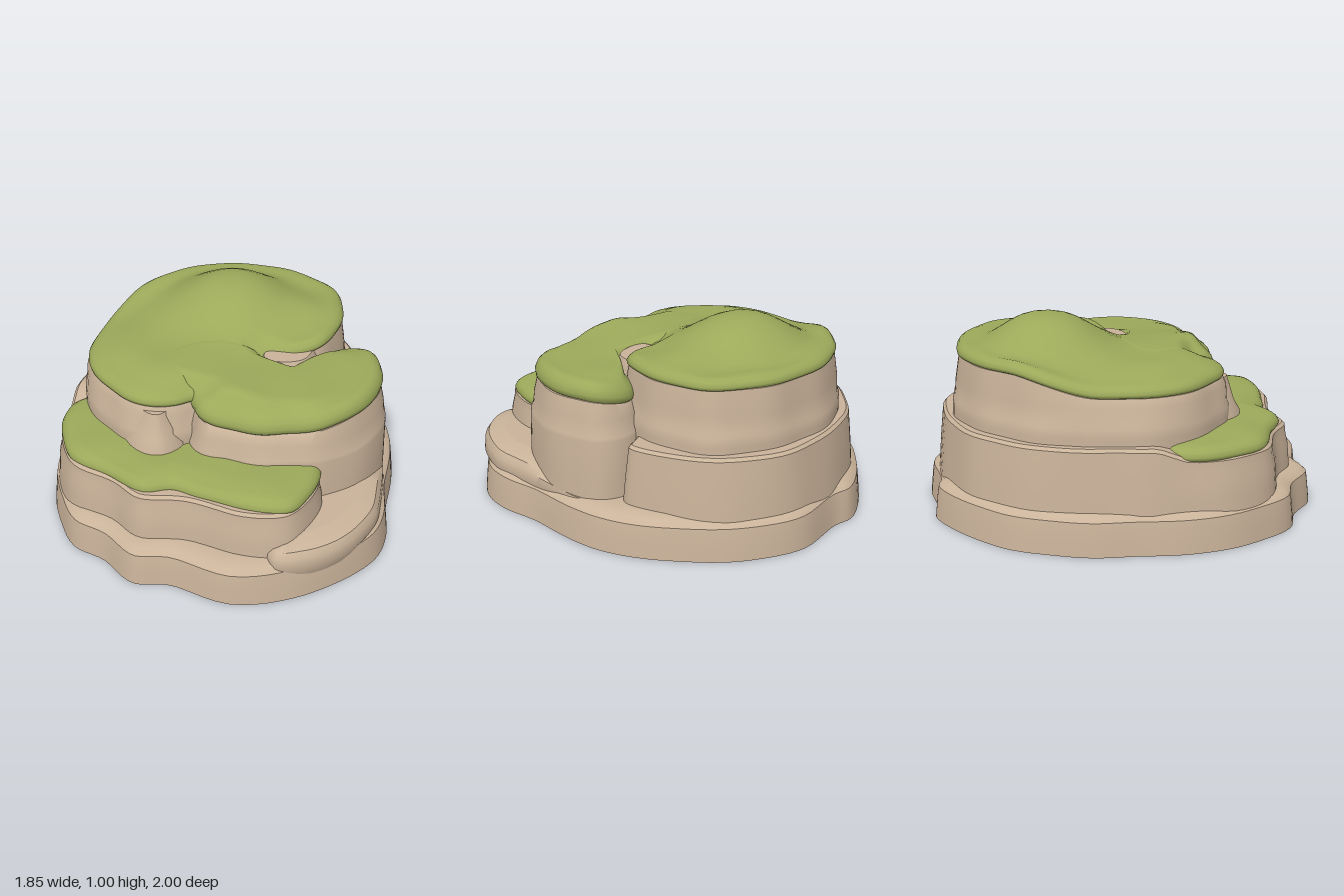
import * as THREE from 'three';
import { toCreasedNormals } from 'three/addons/utils/BufferGeometryUtils.js';

const rock = new THREE.MeshStandardMaterial({ color: 0xcab39a });
rock.name = 'sandy rock';
const grass = new THREE.MeshStandardMaterial({ color: 0x9ca95a });
grass.name = 'moss green';

const SIDES = 128;
const step = THREE.MathUtils.smoothstep;
const lerp = THREE.MathUtils.lerp;

// Closed smooth outline, clockwise from above, with outward normals
function outline(points) {
  const curve = new THREE.CatmullRomCurve3(points.map(([x, z]) => new THREE.Vector3(x, 0, z)), true);
  return Array.from({ length: SIDES }, (_, i) => {
    const p = curve.getPoint(i / SIDES);
    const t = curve.getTangent(i / SIDES);
    return { x: p.x, z: p.z, nx: t.z, nz: -t.x };
  });
}

// Skin rings from the bottom centre, up the wall, to the top centre.
// Each ring is [offset along the normal, scale about the centre, height or height(x, z)].
function loft(name, points, [cx, cz], rings, material, rough, crease) {
  const edge = outline(points);
  const pos = [];
  const idx = [];
  rings.forEach(([off, s, y], r) => {
    for (const e of edge) {
      const a = Math.atan2(e.z, e.x);
      const o = off + rough * (Math.sin(9 * a + r * 0.2) + 0.7 * Math.sin(17 * a + 2 - r * 0.1));
      const x = cx + (e.x + e.nx * o - cx) * s;
      const z = cz + (e.z + e.nz * o - cz) * s;
      pos.push(x, typeof y === 'function' ? y(x, z, s) : y, z);
    }
    if (r === 0) return;
    for (let i = 0; i < SIDES; i++) {
      const j = (i + 1) % SIDES;
      const a = (r - 1) * SIDES + i, b = (r - 1) * SIDES + j;
      const c = r * SIDES + i, d = r * SIDES + j;
      if (rings[r - 1][1] > 0) idx.push(a, c, b);
      if (s > 0) idx.push(b, c, d);
    }
  });
  const g = new THREE.BufferGeometry();
  g.setAttribute('position', new THREE.Float32BufferAttribute(pos, 3));
  g.setIndex(idx);
  const mesh = new THREE.Mesh(toCreasedNormals(g, crease), material);
  mesh.name = name;
  return mesh;
}

// Rock tier: flat underside, stepped wall of [offset, height] pairs, closed top
function rockTier(name, points, centre, wall, rough = 0.006) {
  const [topOff, top] = wall[wall.length - 1];
  const rings = [[wall[0][0], 0, wall[0][1]], ...wall.map(([o, y]) => [o, 1, y])];
  for (const s of [0.93, 0.8, 0.5, 0]) rings.push([topOff, s, top]);
  return loft(name, points, centre, rings, rock, rough, 0.6);
}

// Grass cap: rounded overhanging lip, then a surface that follows height(x, z)
function grassCap(name, points, centre, rim, thick, height) {
  const up = (k) => (x, z) => rim(x, z) + thick * k;
  const surface = (x, z, s) =>
    lerp(rim(x, z) + thick, height(x, z), step(1 - s, -0.02, 0.28))
    + 0.004 * Math.sin(13 * x + 3) * Math.sin(11 * z);
  const rings = [
    [-0.05, 0, up(0.1)], [-0.05, 1, up(0.1)], [-0.012, 1, up(0)], [0.006, 1, up(0.15)],
    [0.01, 1, up(0.4)], [-0.002, 1, up(0.7)], [-0.022, 1, up(0.92)],
  ];
  for (const s of [0.97, 0.92, 0.86, 0.79, 0.71, 0.62, 0.53, 0.44, 0.35, 0.26, 0.17, 0.08, 0]) {
    rings.push([-0.03, s, surface]);
  }
  return loft(name, points, centre, rings, grass, 0.003, 1.2);
}

export function createModel() {
  const model = new THREE.Group();
  model.name = 'grassyRockMound';

  // Broad foot of the rock
  const foot = [[0, -1], [0.25, -0.94], [0.48, -0.8], [0.68, -0.59], [0.78, -0.43], [0.85, -0.2], [0.87, 0.05],
    [0.92, 0.25], [0.92, 0.42], [0.88, 0.53], [0.77, 0.68], [0.59, 0.86], [0.32, 0.995], [0, 0.96],
    [-0.18, 1.005], [-0.38, 0.9], [-0.56, 0.85], [-0.71, 0.7], [-0.81, 0.55], [-0.88, 0.35], [-0.9, 0.1],
    [-0.92, -0.12], [-0.88, -0.33], [-0.79, -0.56], [-0.61, -0.77], [-0.4, -0.92], [-0.27, -0.925]];
  model.add(rockTier('footRock', foot, [0, 0],
    [[0, 0], [-0.006, 0.06], [-0.014, 0.13], [-0.02, 0.165], [-0.045, 0.19], [-0.09, 0.205]], 0.002));

  // Low shelf on the front left corner, fading out towards the back
  const shelf = [[0.78, -0.22], [0.84, 0], [0.885, 0.25], [0.895, 0.42], [0.83, 0.62], [0.66, 0.82],
    [0.5, 0.88], [0.42, 0.8], [0.4, 0.5], [0.5, 0.1], [0.65, -0.2]];
  const shelfY = (k) => (x, z) => 0.2 + k * step(z, -0.25, 0.2) * (0.75 + 0.25 * step(x, 0.42, 0.65));
  model.add(rockTier('cornerShelf', shelf, [0.62, 0.35],
    [[-0.03, 0.12], [-0.008, 0.18], [-0.014, shelfY(0.04)], [-0.035, shelfY(0.07)], [-0.12, shelfY(0.1)]], 0.003));

  // Middle tier, lower in front where the grass ledge lies
  const middle = [[0, -0.945], [0.28, -0.87], [0.48, -0.72], [0.58, -0.54], [0.63, -0.38], [0.5, -0.27],
    [0.45, 0], [0.52, 0.25], [0.62, 0.42], [0.62, 0.58], [0.55, 0.78], [0.32, 0.86], [0.05, 0.83],
    [-0.18, 0.89], [-0.36, 0.81], [-0.62, 0.73], [-0.77, 0.55], [-0.84, 0.22], [-0.855, 0],
    [-0.825, -0.3], [-0.71, -0.57], [-0.56, -0.74], [-0.33, -0.865]];
  const ledgeY = (x, z) => lerp(0.5, 0.44, step(z, 0.15, 0.35));
  const below = (d) => (x, z) => ledgeY(x, z) - d;
  model.add(rockTier('middleRock', middle, [-0.1, 0],
    [[0.008, 0.15], [0, 0.24], [-0.008, 0.33], [-0.02, below(0.06)], [-0.025, below(0.015)], [-0.04, ledgeY]],
    0.004));

  // Grass ledge along the front
  const ledge = [[-0.05, 0.1], [0.3, 0.2], [0.55, 0.36], [0.59, 0.42], [0.58, 0.6], [0.53, 0.74],
    [0.33, 0.79], [0.1, 0.77], [-0.05, 0.76], [-0.18, 0.82], [-0.4, 0.75], [-0.62, 0.68], [-0.73, 0.54],
    [-0.79, 0.38], [-0.77, 0.26], [-0.6, 0.15]];
  model.add(grassCap('ledgeGrass', ledge, [-0.08, 0.4], () => 0.42, 0.07, () => 0.505));

  // Tall rear tower with the hill on top; the rim rises where the side cap joins it
  const tower = [[0, -0.82], [0.2, -0.77], [0.37, -0.67], [0.44, -0.53], [0.465, -0.33], [0.42, -0.14],
    [0.32, -0.06], [0.18, -0.015], [0.14, 0.12], [0.08, 0.3], [-0.06, 0.4], [-0.15, 0.48], [-0.27, 0.52],
    [-0.46, 0.46], [-0.66, 0.3], [-0.74, 0.05], [-0.735, -0.18], [-0.67, -0.4], [-0.5, -0.64],
    [-0.27, -0.78]];
  const hill = (x, z) => 0.83 - 0.03 * step(-x, 0.4, 0.72)
    + 0.168 * Math.exp(-((((x + 0.12) / 0.31) ** 2 + ((z + 0.36) / 0.29) ** 2) ** 1.4))
    + 0.045 * Math.exp(-(((x - 0.33) / 0.16) ** 2) - ((z + 0.4) / 0.2) ** 2);
  const towerRim = (x, z) => lerp(0.8 - 0.085 * step(z - 0.3 * x, -0.35, 0.15), hill(x, z) - 0.064,
    step(x, -0.05, 0.07) * step(z, 0, 0.08));
  model.add(rockTier('rearTower', tower, [-0.15, -0.15],
    [[0.042, 0.3], [0.038, 0.53], [0.036, 0.58], [0.026, 0.6], [0.02, 0.68],
      [0, (x, z) => towerRim(x, z) + 0.005], [-0.03, (x, z) => towerRim(x, z) + 0.02]], 0.005));
  model.add(grassCap('hillGrass', tower, [-0.15, -0.15], towerRim, 0.062, hill));

  // Bare rock showing in the notch between the two caps
  const notch = [[0.3, -0.2], [0.4, -0.14], [0.39, -0.02], [0.3, 0.05], [0.18, 0.05], [0.18, -0.12]];
  model.add(rockTier('notchRock', notch, [0.28, -0.06],
    [[0.03, 0.4], [0.01, 0.76], [-0.01, 0.8]], 0.002));

  // Side tower; its grass cap runs on into the foot of the hill
  const side = [[0.2, 0], [0.38, -0.005], [0.42, -0.16], [0.5, -0.26], [0.6, -0.28], [0.69, -0.245],
    [0.755, -0.13], [0.77, 0], [0.735, 0.19], [0.6, 0.37], [0.44, 0.43], [0.32, 0.49], [0.15, 0.5],
    [0, 0.48], [-0.085, 0.4], [-0.22, 0.33], [-0.3, 0.15], [-0.1, 0]];
  const sideRim = (x, z) => lerp(
    0.65 + 0.04 * step(x, 0.45, 0.75) + 0.03 * step(-x, -0.15, 0.1), hill(x, z) - 0.098,
    step(-x, -0.25, -0.08) * step(-z, -0.4, -0.3));
  model.add(rockTier('sideTower', side, [0.3, 0.17],
    [[0.05, 0.15], [0.045, 0.3], [0.04, 0.5], [0.037, 0.52], [0.028, 0.54], [0.022, 0.6],
      [0, (x, z) => sideRim(x, z) + 0.005], [-0.03, (x, z) => sideRim(x, z) + 0.03]], 0.005));
  model.add(grassCap('sideGrass', side, [0.3, 0.17], sideRim, 0.1,
    (x, z) => lerp(hill(x, z) + 0.003, 0.79, step(x, 0.05, 0.45))));

  // Sloping rock buttress at the front of the cliff
  const buttress = [[-0.45, 0.4], [-0.12, 0.38], [-0.1, 0.5], [-0.16, 0.6], [-0.25, 0.62], [-0.36, 0.56]];
  model.add(rockTier('cliffButtress', buttress, [-0.25, 0.48],
    [[0.01, 0.42], [0, 0.52], [-0.03, 0.57], [-0.07, 0.7]], 0.002));

  return model;
}
